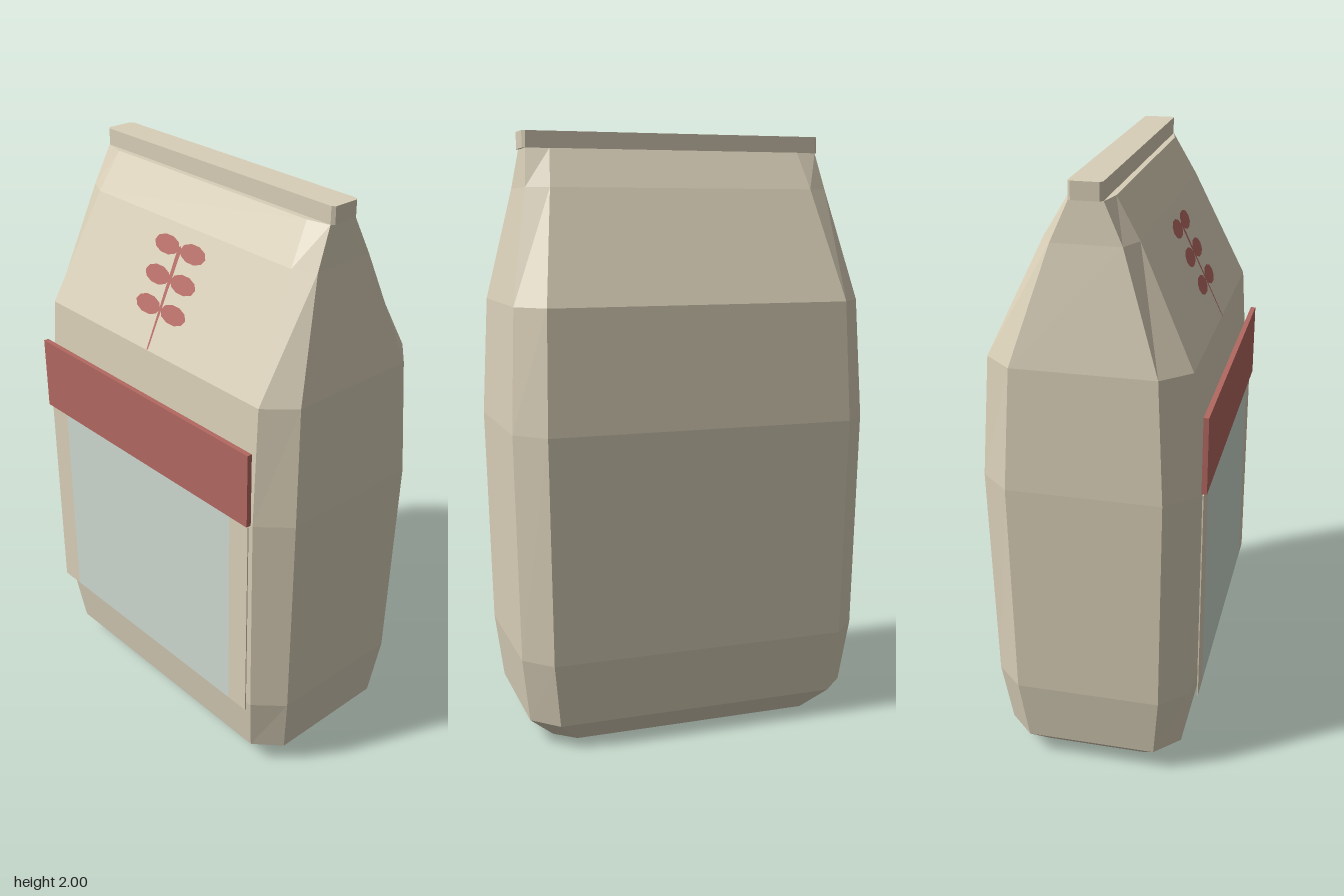
import * as THREE from 'three';

const paper = new THREE.MeshStandardMaterial({ color: 0xd9cfb8, flatShading: true });
paper.name = 'paper';
const red = new THREE.MeshStandardMaterial({ color: 0xb36861, flatShading: true, side: THREE.DoubleSide });
red.name = 'labelRed';
const glass = new THREE.MeshStandardMaterial({ color: 0xcdd9cf });
glass.name = 'windowFilm';

// Stacks chamfered rectangles into a closed solid.
// Level: [y, half width, flat half width, front z, front corner z, back z, back corner z]
function loft(levels) {
  const rings = levels.map(([y, hx, cx, zf, czf, zb, czb]) => [
    [-cx, y, zf], [cx, y, zf], [hx, y, czf], [hx, y, czb],
    [cx, y, zb], [-cx, y, zb], [-hx, y, czb], [-hx, y, czf],
  ]);
  const pos = [];
  const tri = (a, b, c) => pos.push(...a, ...b, ...c);
  for (let l = 0; l < rings.length - 1; l++) {
    for (let i = 0; i < 8; i++) {
      const j = (i + 1) % 8, lo = rings[l], hi = rings[l + 1];
      tri(lo[i], lo[j], hi[j]);
      tri(lo[i], hi[j], hi[i]);
    }
  }
  const bottom = rings[0], top = rings[rings.length - 1];
  for (let i = 1; i < 7; i++) {
    tri(bottom[0], bottom[i + 1], bottom[i]);
    tri(top[0], top[i], top[i + 1]);
  }
  const geo = new THREE.BufferGeometry();
  geo.setAttribute('position', new THREE.Float32BufferAttribute(pos, 3));
  geo.computeVertexNormals();
  return geo;
}

export function createModel() {
  const model = new THREE.Group();
  model.name = 'paperBag';

  function add(name, geo, mat, x = 0, y = 0, z = 0, parent = model) {
    const mesh = new THREE.Mesh(geo, mat);
    mesh.name = name;
    mesh.position.set(x, y, z);
    parent.add(mesh);
    return mesh;
  }

  // Bag body, narrowing to a folded top
  add('bagBody', loft([
    [0, 0.48, 0.41, 0.215, 0.155, -0.245, -0.185],
    [0.08, 0.567, 0.483, 0.285, 0.205, -0.315, -0.23],
    [0.3, 0.595, 0.508, 0.315, 0.225, -0.345, -0.255],
    [1.05, 0.612, 0.52, 0.33, 0.235, -0.36, -0.262],
    [1.45, 0.595, 0.51, 0.305, 0.215, -0.333, -0.24],
    [1.82, 0.525, 0.453, 0.13, 0.095, -0.16, -0.122],
    [1.945, 0.511, 0.435, 0.055, 0.037, -0.086, -0.067],
  ]), paper);

  // Folded strip closing the top
  add('topFold', loft([
    [1.945, 0.52, 0.51, 0.036, 0.027, -0.068, -0.059],
    [2.0, 0.52, 0.51, 0.036, 0.027, -0.068, -0.059],
  ]), paper);

  // Front window, its side strips and the band above
  add('window', new THREE.BoxGeometry(0.86, 0.755, 0.004), glass, 0, 0.6775, 0.342);
  for (const side of [-1, 1]) {
    add('windowStrip', new THREE.BoxGeometry(0.085, 0.75, 0.004), paper, side * 0.4705, 0.675, 0.342);
  }
  add('band', new THREE.BoxGeometry(1.04, 0.255, 0.017), red, 0, 1.1865, 0.3465);

  // Wheat sprig lying on the upper slope
  const sprig = new THREE.Group();
  sprig.name = 'wheatSprig';
  sprig.position.set(0, 1.45, 0.309);
  sprig.rotation.x = -Math.atan2(0.175, 0.37);
  model.add(sprig);

  const slope = Math.hypot(0.175, 0.37) / 0.37;
  const stem = new THREE.Shape([
    new THREE.Vector2(-0.003, 0.005), new THREE.Vector2(0.003, 0.005),
    new THREE.Vector2(0.009, 0.3 * slope), new THREE.Vector2(0, 0.315 * slope),
    new THREE.Vector2(-0.009, 0.3 * slope),
  ]);
  add('stem', new THREE.ShapeGeometry(stem), red, 0, 0, 0.001, sprig);

  const leaf = new THREE.CircleGeometry(1, 10).scale(0.059, 0.028 * slope, 1);
  for (const y of [0.126, 0.215, 0.305]) {
    for (const side of [-1, 1]) add('leaf', leaf, red, side * 0.061, y * slope, 0, sprig);
  }
  return model;
}
